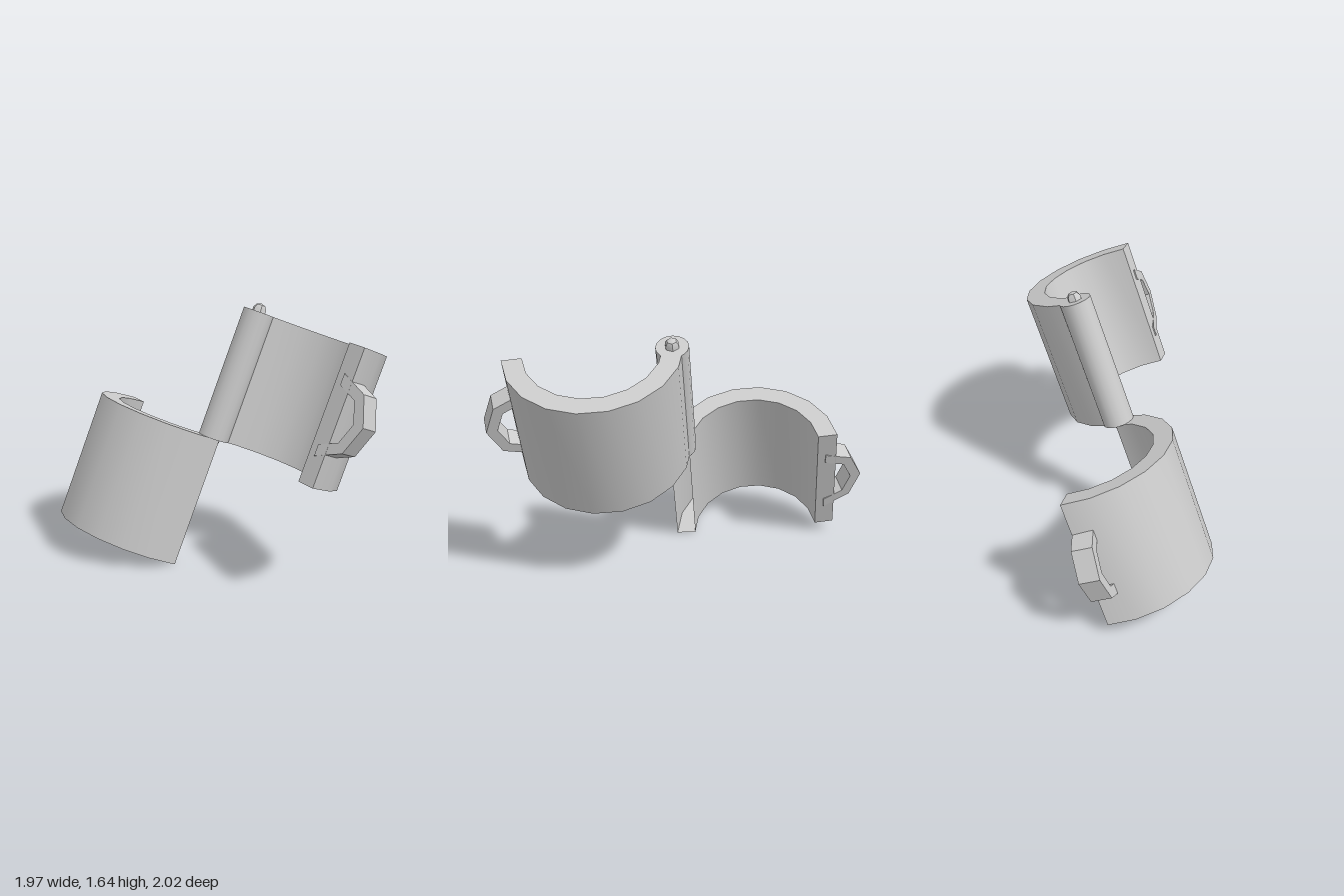
import * as THREE from 'three';
import { toCreasedNormals } from 'three/addons/utils/BufferGeometryUtils.js';

const H = 0.85;            // height of each half along the hinge axis
const R_IN = 0.417, R_OUT = 0.54;
const SWEEP = THREE.MathUtils.degToRad(173);
const TIP = THREE.MathUtils.degToRad(60);      // angle of the free end
const HINGE = TIP - SWEEP;                     // angle of the hinged end
const HINGE_R = 0.47;

const mat = new THREE.MeshStandardMaterial({ color: 0xcccccc, side: THREE.DoubleSide });

function add(parent, name, geometry) {
  const mesh = new THREE.Mesh(geometry, mat);
  mesh.name = name;
  parent.add(mesh);
  return mesh;
}

// Half loop of a flat band, standing out along +x and arching along y
function loopGeometry() {
  const outer = 0.25, inner = 0.18, width = 0.13;
  const shape = new THREE.Shape();
  const points = [];
  for (let i = 0; i <= 4; i++) {
    const a = -Math.PI / 2 + (i * Math.PI) / 4;
    points.push(new THREE.Vector2(Math.cos(a) * outer, Math.sin(a) * outer));
  }
  for (let i = 4; i >= 0; i--) {
    const a = -Math.PI / 2 + (i * Math.PI) / 4;
    points.push(new THREE.Vector2(Math.cos(a) * inner, Math.sin(a) * inner));
  }
  shape.setFromPoints(points);
  const g = new THREE.ExtrudeGeometry(shape, { depth: width, bevelEnabled: false });
  return g.translate(0, 0, -width / 2);
}

// One half of the cuff, placed so that the hinge axis is its local y axis
function cuffHalf(name) {
  const half = new THREE.Group();
  half.name = name;
  const ring = new THREE.Group();
  ring.name = name + 'Ring';
  ring.position.set(-Math.cos(HINGE) * HINGE_R, 0, -Math.sin(HINGE) * HINGE_R);
  half.add(ring);

  // Curved wall, open at the hinged end
  const profile = [[R_IN, -H / 2], [R_OUT, -H / 2], [R_OUT, H / 2], [R_IN, H / 2], [R_IN, -H / 2]]
    .map(([x, y]) => new THREE.Vector2(x, y));
  const wall = new THREE.LatheGeometry(profile, 9, Math.PI / 2 - TIP, SWEEP);
  add(ring, 'wall', toCreasedNormals(wall, 0.6));

  // Flat face on the free end
  const mid = (R_IN + R_OUT) / 2;
  const end = add(ring, 'endFace', new THREE.PlaneGeometry(R_OUT - R_IN, H));
  end.position.set(Math.cos(TIP) * mid, 0, Math.sin(TIP) * mid);
  end.rotation.y = -TIP;

  // Loop near the free end
  const a = THREE.MathUtils.degToRad(53);
  const loop = add(ring, 'loop', loopGeometry());
  loop.position.set(Math.cos(a) * 0.465, 0, Math.sin(a) * 0.465);
  loop.rotation.y = -a;
  return half;
}

export function createModel() {
  const model = new THREE.Group();
  model.name = 'hingedCuff';

  // Everything hangs on the tilted hinge axis
  const body = new THREE.Group();
  body.name = 'tiltedBody';
  body.position.set(0.15, 1.19, -0.04);
  body.quaternion.setFromUnitVectors(
    new THREE.Vector3(0, 1, 0),
    new THREE.Vector3(0.353, 0.931, -0.094).normalize()
  );
  model.add(body);

  body.add(cuffHalf('upperHalf'));

  // The other half is turned round the hinge and slid down by its own height
  const lower = cuffHalf('lowerHalf');
  lower.rotation.y = Math.PI;
  lower.position.y = -H;
  body.add(lower);

  // Hinge barrel
  add(body, 'hingeBarrel', toCreasedNormals(new THREE.CylinderGeometry(0.1, 0.1, H, 16), 0.6));

  // Pin with a rounded six-sided head at each end
  const pin = [[0, -0.055], [0.03, -0.045], [0.045, -0.022], [0.045, 0.022], [0.03, 0.045], [0, 0.055]];
  const pinProfile = pin.map(([x, y]) => new THREE.Vector2(x, y + Math.sign(y) * H / 2));
  add(body, 'hingePin', toCreasedNormals(new THREE.LatheGeometry(pinProfile, 6), 0.6));

  return model;
}
